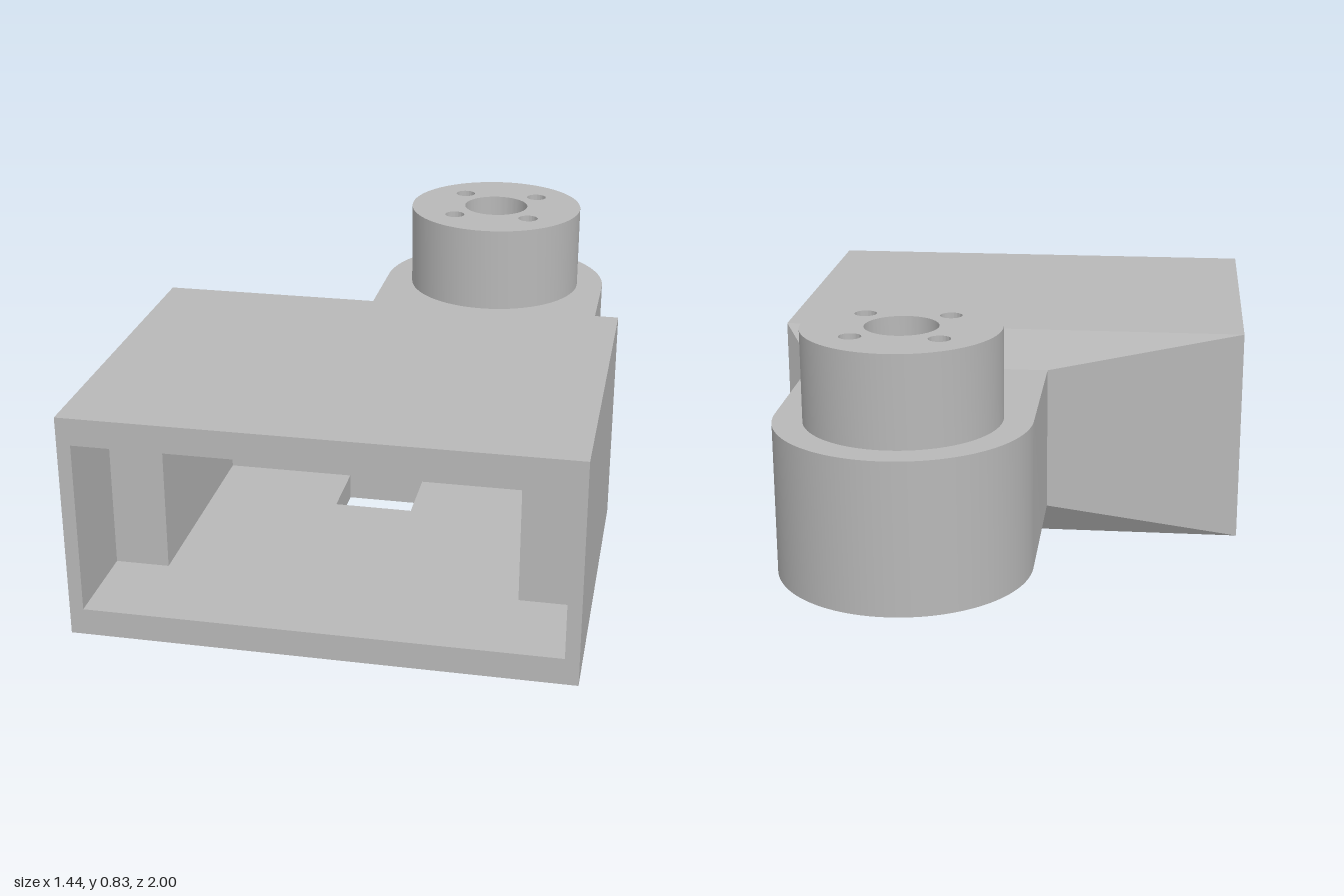
import * as THREE from 'three';
import { toCreasedNormals } from 'three/addons/utils/BufferGeometryUtils.js';

const grey = new THREE.MeshStandardMaterial({ color: 0xb8b8b8 });
grey.name = 'plain grey';

// Housing bounds, cavity and arm dimensions
const W = 0.72, H = 0.67, FRONT = 1, BACK = -0.05;
const CAVITY_BACK = 0.02, RIB_FRONT = 0.715, FLOOR = 0.08, CEILING = 0.59;
const ARM = { x0: -0.115, x1: 0.63, y0: 0.11, y1: 0.56, z: -0.125 };
const PIVOT = { x: 0.2575, z: -0.6275, r: 0.3725 };

export function createModel() {
  const model = new THREE.Group();
  model.name = 'motorBracket';

  const add = (name, geometry) => {
    const mesh = new THREE.Mesh(geometry, grey);
    mesh.name = name;
    model.add(mesh);
    return mesh;
  };
  const block = (name, x0, x1, y0, y1, z0, z1) => {
    const g = new THREE.BoxGeometry(x1 - x0, y1 - y0, z1 - z0);
    g.translate((x0 + x1) / 2, (y0 + y1) / 2, (z0 + z1) / 2);
    return add(name, g);
  };
  // Plan shapes use (x, -z) and rise from y0 to y1
  const plate = (name, shape, y0, y1) => {
    const g = new THREE.ExtrudeGeometry(shape, { depth: y1 - y0, bevelEnabled: false, curveSegments: 48 });
    g.rotateX(-Math.PI / 2).translate(0, y0, 0);
    return add(name, toCreasedNormals(g, 0.5));
  };
  const circle = (x, z, r) => new THREE.Path().absarc(x, -z, r, 0, Math.PI * 2, true);

  // Floor with a cable slot against the back wall
  const s = 0.12, slotFront = 0.23;
  const floor = new THREE.Shape([
    [-W, -FRONT], [W, -FRONT], [W, -CAVITY_BACK], [s, -CAVITY_BACK],
    [s, -slotFront], [-s, -slotFront], [-s, -CAVITY_BACK], [-W, -CAVITY_BACK],
  ].map(([x, y]) => new THREE.Vector2(x, y)));
  plate('housingFloor', floor, 0, FLOOR);

  // Roof, back wall, side walls and inner ribs
  block('housingRoof', -W, W, CEILING, H, CAVITY_BACK, FRONT);
  block('housingBack', -W, W, 0, H, BACK, CAVITY_BACK);
  block('rightWall', -W, -0.68, FLOOR, CEILING, CAVITY_BACK, FRONT);
  block('leftWall', 0.68, W, FLOOR, CEILING, CAVITY_BACK, FRONT);
  block('rightRib', -0.68, -0.52, FLOOR, CEILING, CAVITY_BACK, RIB_FRONT);
  block('leftRib', 0.52, 0.68, FLOOR, CEILING, CAVITY_BACK, RIB_FRONT);

  // Tapered transition from housing to arm
  const ring = (x0, x1, y0, y1, z) => [[x0, y0, z], [x1, y0, z], [x1, y1, z], [x0, y1, z]];
  const f = ring(-W, W, 0, H, BACK);
  const b = ring(ARM.x0, ARM.x1, ARM.y0, ARM.y1, ARM.z);
  const points = [];
  for (let i = 0; i < 4; i++) {
    const j = (i + 1) % 4;
    points.push(...f[i], ...b[i], ...b[j], ...f[i], ...b[j], ...f[j]);
  }
  const taper = new THREE.BufferGeometry();
  taper.setAttribute('position', new THREE.Float32BufferAttribute(points, 3));
  taper.computeVertexNormals();
  add('taper', taper);

  // Rounded arm with a through bore
  const arm = new THREE.Shape();
  arm.moveTo(ARM.x0, -ARM.z);
  arm.lineTo(ARM.x1, -ARM.z);
  arm.lineTo(ARM.x1, -PIVOT.z);
  arm.absarc(PIVOT.x, -PIVOT.z, PIVOT.r, 0, Math.PI, false);
  arm.closePath();
  arm.holes.push(circle(PIVOT.x, PIVOT.z, 0.106));
  plate('arm', arm, ARM.y0, ARM.y1);

  // Boss with the bore and four screw holes
  const boss = new THREE.Shape().absarc(PIVOT.x, -PIVOT.z, 0.286, 0, Math.PI * 2, false);
  boss.holes.push(circle(PIVOT.x, PIVOT.z, 0.106));
  for (const dx of [-1, 1]) {
    for (const dz of [-1, 1]) {
      boss.holes.push(circle(PIVOT.x + dx * 0.124, PIVOT.z + dz * 0.124, 0.032));
    }
  }
  plate('boss', boss, ARM.y1, 0.83);

  return model;
}
